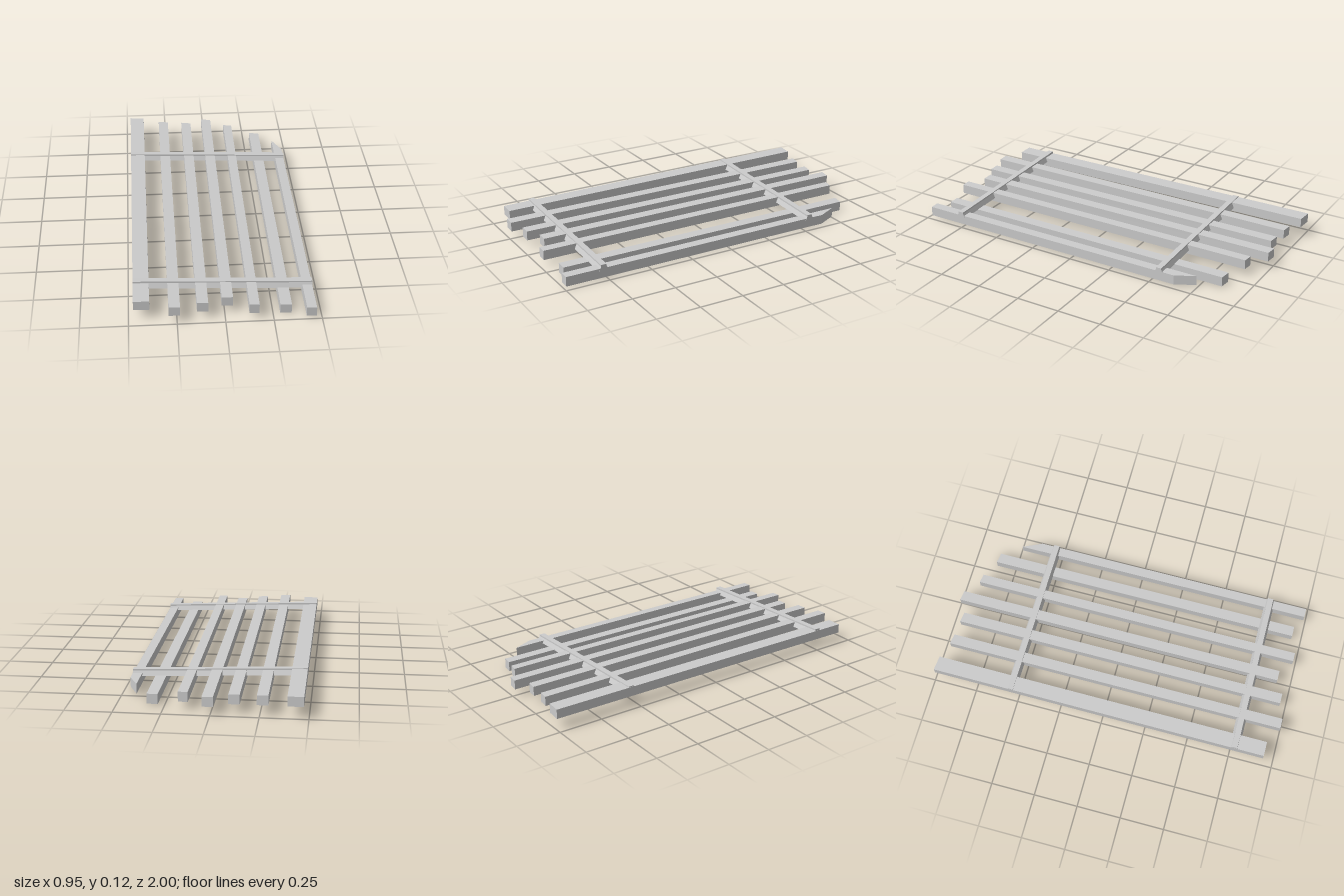
import * as THREE from 'three';

const grey = new THREE.MeshStandardMaterial({ color: 0xcccccc, flatShading: true });
const SLOPE = -0.041; // the whole frame leans down towards +x

// Squared beam with a slightly skewed (or strongly bevelled) back end
function beam({ x0, x1, y0, y1, back, front, skew = 0.008, rise = 0, slope = SLOPE }) {
  const w = x1 - x0;
  const geo = new THREE.BoxGeometry(w, y1 - y0, 1);
  const p = geo.attributes.position;
  for (let i = 0; i < p.count; i++) {
    const x = p.getX(i), y = p.getY(i);
    const isBack = p.getZ(i) < 0;
    const z = isBack ? back + skew * (x / w + 0.5) : front;
    const lift = isBack ? rise : 0;
    p.setXYZ(i, (x0 + x1) / 2 + x, (y0 + y1) / 2 + y + slope * x + lift, z);
  }
  geo.computeVertexNormals();
  const mesh = new THREE.Mesh(geo, grey);
  mesh.name = 'beam';
  return mesh;
}

// Cross rail: narrow lip on top, flaring to a wide base, extruded along x
function rail(z) {
  const s = new THREE.Shape([
    [-0.028, -0.018], [0.028, -0.018], [0.016, 0.009],
    [0.016, 0.018], [-0.016, 0.018], [-0.016, 0.009],
  ].map(([a, b]) => new THREE.Vector2(a, b)));
  const len = 0.946;
  const geo = new THREE.ExtrudeGeometry(s, { depth: len, bevelEnabled: false });
  geo.translate(0, 0, -len / 2);
  geo.rotateY(Math.PI / 2);
  const p = geo.attributes.position;
  for (let i = 0; i < p.count; i++) p.setY(i, p.getY(i) + SLOPE * p.getX(i));
  geo.translate(0, 0.085, z);
  geo.computeVertexNormals();
  const mesh = new THREE.Mesh(geo, grey);
  mesh.name = 'crossRail';
  return mesh;
}

export function createModel() {
  const group = new THREE.Group();
  group.name = 'beamFrame';

  // Seven long beams of uneven length
  [
    { x0: -0.474, x1: -0.39, y0: 0.055, y1: 0.108, back: -1.0, front: 0.94, rise: 0.01, slope: -0.02 },
    { x0: -0.293, x1: -0.234, y0: 0.052, y1: 0.105, back: -0.963, front: 0.995 },
    { x0: -0.147, x1: -0.088, y0: 0.047, y1: 0.1, back: -0.95, front: 0.962 },
    { x0: -0.016, x1: 0.043, y0: 0.044, y1: 0.097, back: -0.992, front: 0.917 },
    { x0: 0.123, x1: 0.175, y0: 0.038, y1: 0.092, back: -0.916, front: 0.98 },
    { x0: 0.287, x1: 0.347, y0: 0.0015, y1: 0.056, back: -0.865, front: 0.943 },
    { x0: 0.42, x1: 0.472, y0: 0.01, y1: 0.064, back: -0.743, front: 0.987, skew: 0.11 },
  ].forEach((b) => group.add(beam(b)));

  // Two cross rails laid over the beams
  for (const z of [-0.543, 0.77]) group.add(rail(z));
  return group;
}
